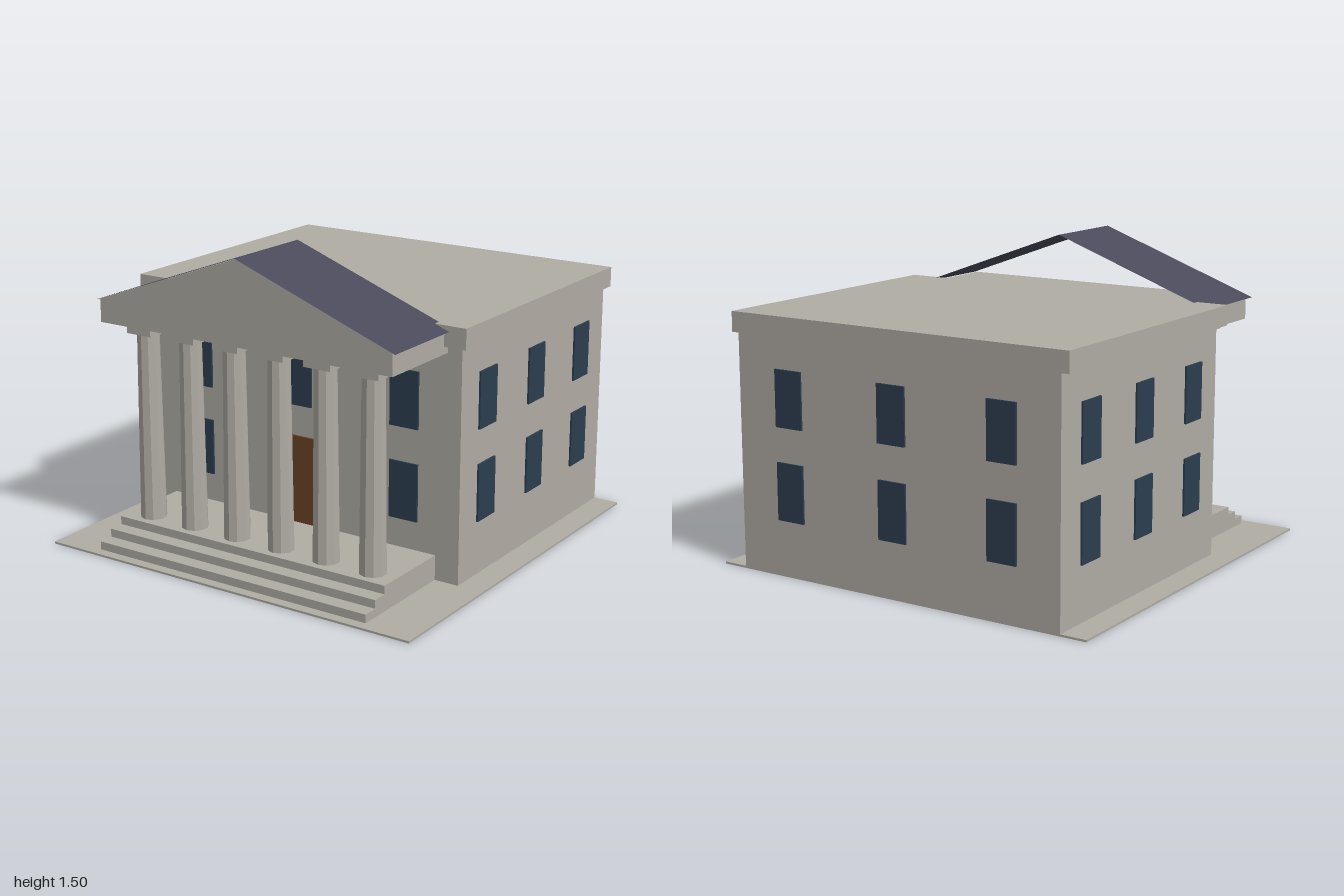
import * as THREE from 'three';

function mat(name, color, extra = {}) {
  const m = new THREE.MeshStandardMaterial({ color, ...extra });
  m.name = name;
  return m;
}

export function createModel() {
  const model = new THREE.Group();
  model.name = 'templeFrontBuilding';

  const stone = mat('stone', 0xb0aca4, { flatShading: true });
  const glass = mat('windowGlass', 0x2c3e50);
  const wood = mat('doorWood', 0x6b4226);
  const slate = mat('roofSlate', 0x4a4a5a, { side: THREE.DoubleSide });

  const add = (name, geometry, material, parent = model) => {
    const mesh = new THREE.Mesh(geometry, material);
    mesh.name = name;
    parent.add(mesh);
    return mesh;
  };

  // Box given by its limits on each axis
  const box = (name, [x0, x1], [y0, y1], [z0, z1], material = stone, parent = model) => {
    const mesh = add(name, new THREE.BoxGeometry(x1 - x0, y1 - y0, z1 - z0), material, parent);
    mesh.position.set((x0 + x1) / 2, (y0 + y1) / 2, (z0 + z1) / 2);
    return mesh;
  };

  // Single-sided or double-sided polygon from corners listed counter-clockwise
  const polygon = (name, corners, material) => {
    const g = new THREE.BufferGeometry();
    g.setAttribute('position', new THREE.Float32BufferAttribute(corners.flat(), 3));
    g.setIndex(corners.length === 3 ? [0, 1, 2] : [0, 1, 2, 0, 2, 3]);
    g.computeVertexNormals();
    return add(name, g, material);
  };

  const BACK = -0.99, FRONT = 0.38, HALF = 0.872;

  // Ground slab, main block and its cornice
  box('groundSlab', [-1, 1], [0, 0.01], [BACK, 1]);
  box('mainBlock', [-HALF, HALF], [0.01, 1.125], [BACK, FRONT]);
  box('cornice', [-0.91, 0.91], [1.125, 1.222], [BACK, 0.415]);

  // Porch platform and steps
  [0.95, 0.875, 0.8].forEach((z, i) => {
    const y = 0.01 + i * 0.04;
    box(i === 2 ? 'porchFloor' : 'step', [-0.75, 0.75], [y, y + 0.04], [FRONT, z]);
  });

  // Ten-sided tapering columns with square capitals
  const shaft = new THREE.CylinderGeometry(0.054, 0.064, 0.91, 10);
  for (let i = 0; i < 6; i++) {
    const column = new THREE.Group();
    column.name = 'column';
    column.position.set(-0.625 + i * 0.25, 0, 0.703);
    add('shaft', shaft, stone, column).position.y = 0.585;
    box('capital', [-0.07, 0.07], [1.04, 1.09], [-0.07, 0.07], stone, column);
    model.add(column);
  }

  // Entablature, gable face and thin pitched roof
  box('entablature', [-0.8, 0.8], [1.09, 1.198], [FRONT, 0.83]);
  polygon('gableFace', [[-0.815, 1.198, 0.832], [0.815, 1.198, 0.832], [0, 1.493, 0.832]], stone);
  polygon('roofLeft', [[0, 1.495, FRONT], [0, 1.495, 0.85], [0.825, 1.195, 0.85], [0.825, 1.195, FRONT]], slate);
  polygon('roofRight', [[0, 1.495, 0.85], [0, 1.495, FRONT], [-0.825, 1.195, FRONT], [-0.825, 1.195, 0.85]], slate);

  // Windows in two rows on every side, door in the middle of the front
  const T = 0.0095;
  for (const [y0, y1] of [[0.27, 0.545], [0.71, 0.98]]) {
    for (const x of [-0.58, 0, 0.58]) {
      const span = [x - 0.075, x + 0.075];
      box('backWindow', span, [y0, y1], [BACK - T, BACK], glass);
      if (x !== 0 || y0 > 0.5) box('frontWindow', span, [y0, y1], [FRONT, FRONT + T], glass);
    }
    for (const z of [0.152, -0.302, -0.757]) {
      const span = [z - 0.075, z + 0.075];
      box('leftWindow', [HALF, HALF + T], [y0, y1], span, glass);
      box('rightWindow', [-HALF - T, -HALF], [y0, y1], span, glass);
    }
  }
  box('door', [-0.1, 0.1], [0.13, 0.56], [FRONT, FRONT + T], wood);

  return model;
}
